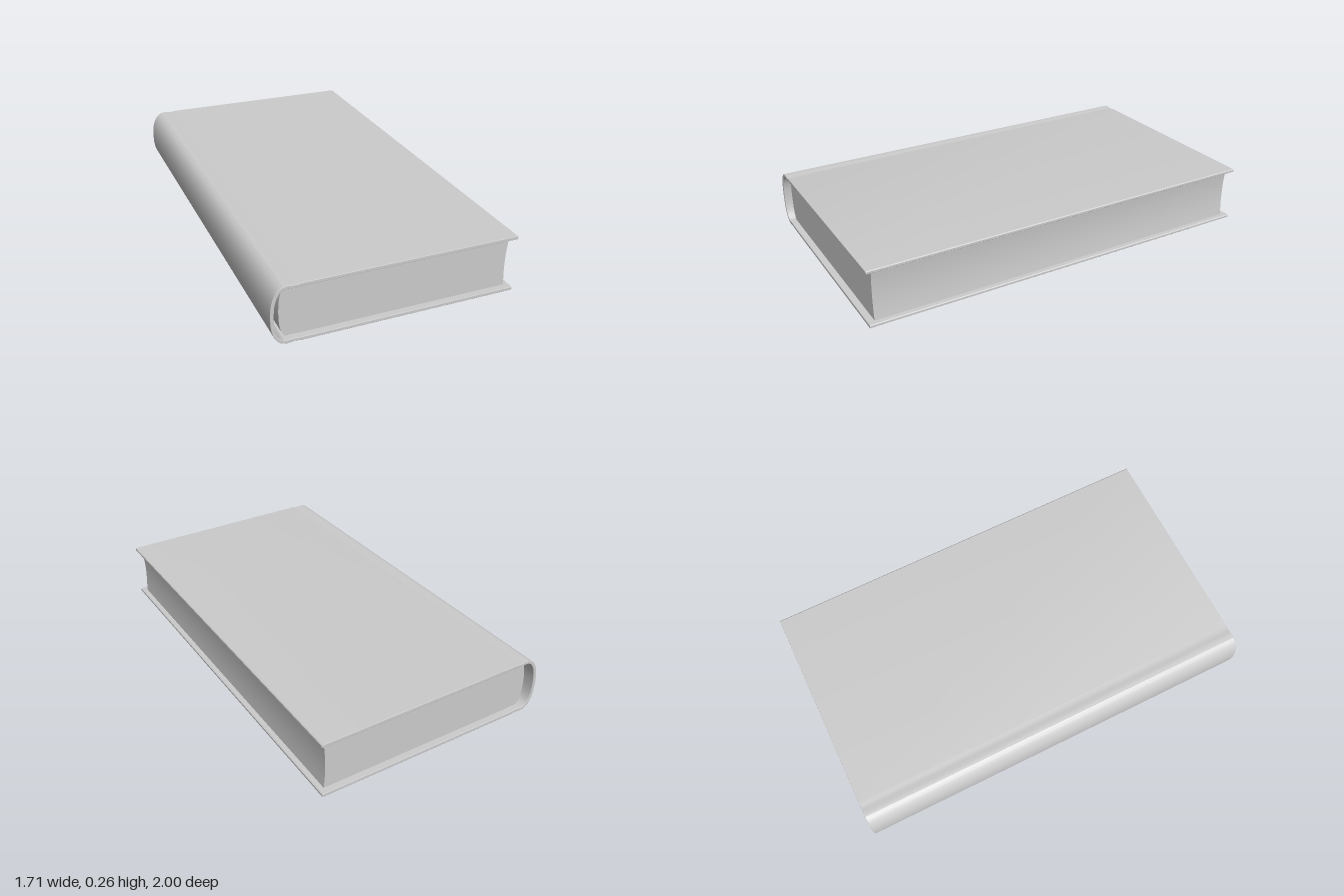
import * as THREE from 'three';
import { toCreasedNormals } from 'three/addons/utils/BufferGeometryUtils.js';

const LENGTH = 1.736; // cover length along the spine
const HALF = 0.12; // half of the closed book's thickness
const BOARD = 0.014; // cover thickness

const v = (x, y) => new THREE.Vector2(x, y);
// Adds the lower half of a profile by mirroring the upper half (last point lies on y = 0)
const mirrored = (pts) => [...pts, ...pts.slice(0, -1).reverse().map((p) => v(p.x, -p.y))];

// Extrudes a cross-section along z, centred, with small softened ends
function extrude(points, length, bevel, crease) {
  const geo = new THREE.ExtrudeGeometry(new THREE.Shape(points), {
    depth: length - 2 * bevel,
    bevelEnabled: bevel > 0,
    bevelThickness: bevel,
    bevelSize: bevel,
    bevelOffset: -bevel,
    bevelSegments: 2,
  });
  geo.translate(0, 0, -length / 2 + bevel);
  return toCreasedNormals(geo, crease);
}

// Rounded quarter of a spine or page back, from its top edge to its apex
function spineCurve(topX, apexX, h, steps) {
  const pts = [];
  for (let i = 0; i <= steps; i++) {
    const a = (i / steps) * Math.PI / 2;
    pts.push(v(topX + (apexX - topX) * Math.pow(Math.sin(a), 0.9), i === steps ? 0 : h * Math.pow(Math.cos(a), 0.85)));
  }
  return pts;
}

export function createModel() {
  const book = new THREE.Group();
  book.name = 'book';
  const material = new THREE.MeshStandardMaterial({ color: 0xcccccc });
  const add = (name, geo) => {
    const mesh = new THREE.Mesh(geo, material);
    mesh.name = name;
    book.add(mesh);
  };

  // Cover: two boards with a shallow hinge groove, joined by a rounded hollow spine
  const outer = mirrored([
    v(0.496, HALF), v(-0.385, HALF), v(-0.402, HALF - 0.003), v(-0.418, HALF - 0.002),
    ...spineCurve(-0.436, -0.5, HALF, 8),
  ]);
  const inner = mirrored([
    v(0.496, HALF - BOARD), v(-0.385, HALF - BOARD), v(-0.41, HALF - BOARD - 0.002),
    ...spineCurve(-0.436, -0.5 + BOARD, HALF - BOARD, 8),
  ]).reverse();
  const tip = (y) => [v(0.5, y + 0.004), v(0.5, y - 0.004)];
  const mid = HALF - BOARD / 2;
  add('cover', extrude([...outer, ...tip(-mid).reverse(), ...inner, ...tip(mid).reverse()], LENGTH, 0.002, 0.3));

  // Page block: convex at the spine, slightly hollow at the fore edge
  const h = HALF - BOARD + 0.001;
  const foreEdge = [];
  for (let i = 0; i <= 8; i++) {
    const t = (i / 8) * 2 - 1;
    foreEdge.push(v(0.478 - 0.007 * (1 - t * t), t * h));
  }
  add('pages', extrude([...mirrored(spineCurve(-0.425, -0.46, h, 6)), ...foreEdge], LENGTH - 0.054, 0, 0.6));

  // The book lies turned on the ground, tilting slightly toward the fore edge
  book.rotation.set(0.0035, -0.503, -0.0105, 'YXZ');
  book.position.y = 0.129;
  const model = new THREE.Group();
  model.name = 'closedBook';
  model.add(book);
  return model;
}
